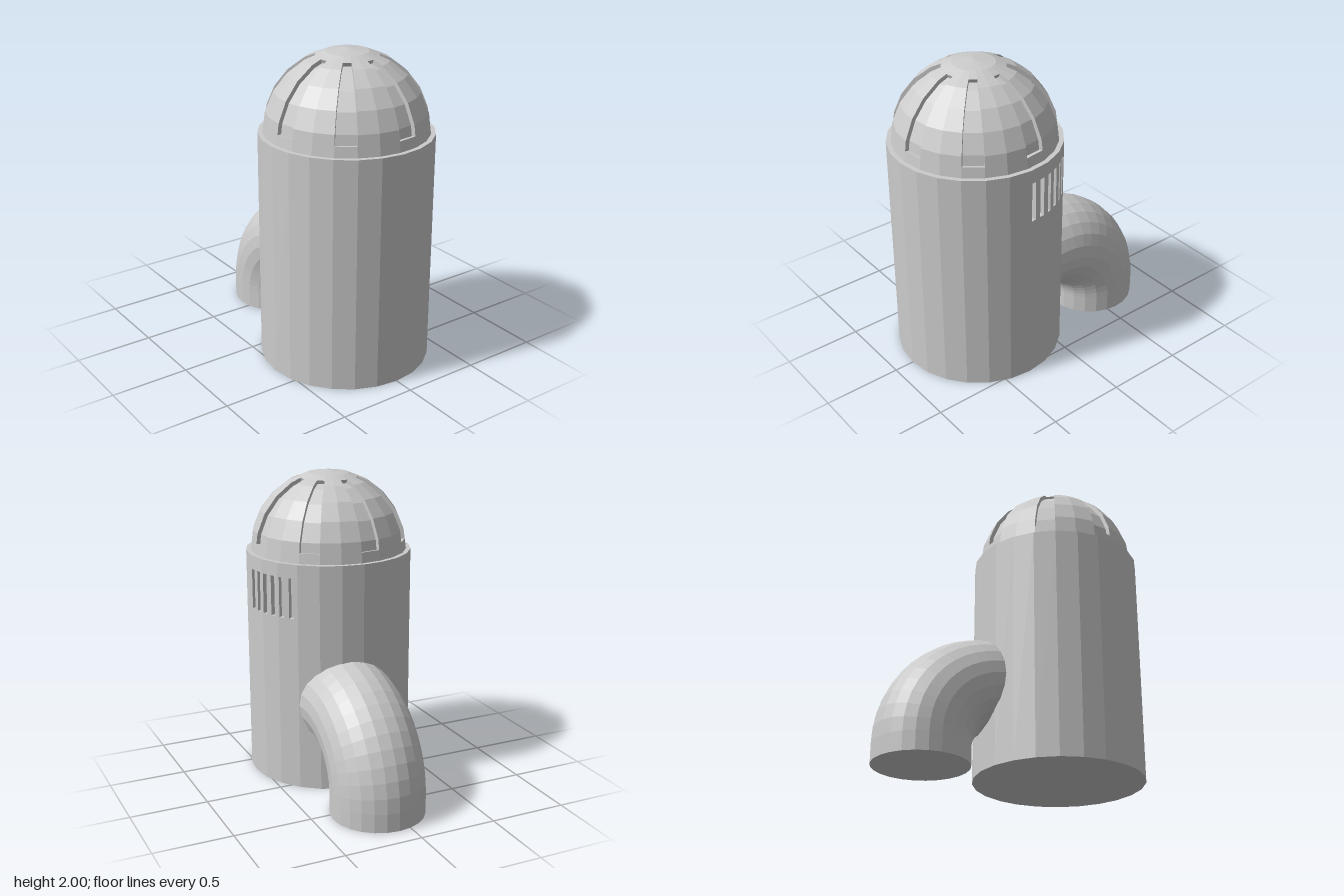
import * as THREE from 'three';

const CX = 0.33, BODY_R = 0.54, BODY_H = 1.49, DOME_R = 0.51;
const SIDES = 24, STEP = (Math.PI * 2) / SIDES;
const material = new THREE.MeshStandardMaterial({ color: 0xcccccc, flatShading: true });

function addMesh(parent, name, geometry, x = 0, y = 0, z = 0) {
  const mesh = new THREE.Mesh(geometry, material);
  mesh.name = name;
  mesh.position.set(x, y, z);
  parent.add(mesh);
  return mesh;
}

function rectangle(Type, x0, y0, x1, y1) {
  return new Type([[x0, y0], [x1, y0], [x1, y1], [x0, y1]].map(([x, y]) => new THREE.Vector2(x, y)));
}

// Faceted hemisphere; every third column has a long recessed slot
function domeGeometry() {
  const rings = [];
  for (let i = 0; i <= 6; i++) {
    rings.push(new THREE.Vector2(DOME_R * Math.cos(i * STEP), DOME_R * Math.sin(i * STEP)));
  }
  const mid = (i) => rings[i].clone().lerp(rings[i + 1], 0.5);
  const profile = [rings[0], mid(0), ...rings.slice(1, 5), mid(4), rings[5], rings[6]];
  const inner = profile.map((p) => p.clone().multiplyScalar(0.95));
  const first = 1, last = 6; // slot ends along the profile

  const positions = [];
  const at = (p, t) => [p.x * Math.sin(t), p.y, p.x * Math.cos(t)];
  const quad = (a, b, c, d) => positions.push(...a, ...b, ...c, ...a, ...c, ...d);

  for (let k = 0; k < SIDES; k++) {
    const t0 = k * STEP, t1 = t0 + STEP, slotted = k % 3 === 0;
    for (let i = 0; i < profile.length - 1; i++) {
      const recessed = slotted && i >= first && i < last;
      const line = recessed ? inner : profile;
      quad(at(line[i], t0), at(line[i], t1), at(line[i + 1], t1), at(line[i + 1], t0));
      if (recessed) {
        // side walls of the slot
        quad(at(inner[i], t0), at(inner[i + 1], t0), at(profile[i + 1], t0), at(profile[i], t0));
        quad(at(profile[i], t1), at(profile[i + 1], t1), at(inner[i + 1], t1), at(inner[i], t1));
      }
    }
    if (slotted) {
      // end walls of the slot
      quad(at(profile[first], t0), at(profile[first], t1), at(inner[first], t1), at(inner[first], t0));
      quad(at(inner[last], t0), at(inner[last], t1), at(profile[last], t1), at(profile[last], t0));
    }
  }
  const geometry = new THREE.BufferGeometry();
  geometry.setAttribute('position', new THREE.Float32BufferAttribute(positions, 3));
  geometry.computeVertexNormals();
  return geometry;
}

// Body: plain wall, end caps and three rear panels pierced by vents
function createBody() {
  const body = new THREE.Group();
  body.name = 'body';
  const grilleStart = Math.PI, grillePanels = 3;
  addMesh(body, 'bodyWall', new THREE.CylinderGeometry(BODY_R, BODY_R, BODY_H, SIDES - grillePanels, 1, true,
    grilleStart + grillePanels * STEP, (SIDES - grillePanels) * STEP), 0, BODY_H / 2, 0);

  const cap = new THREE.CircleGeometry(BODY_R, SIDES);
  addMesh(body, 'bodyTop', cap, 0, BODY_H, 0).rotation.x = -Math.PI / 2;
  addMesh(body, 'bodyBottom', cap).rotation.x = Math.PI / 2;

  const half = BODY_R * Math.sin(STEP / 2), apothem = BODY_R * Math.cos(STEP / 2), depth = 0.03;
  const panel = rectangle(THREE.Shape, -half, 0, half, BODY_H);
  for (let i = 0; i < 2; i++) {
    const x = -half + 0.008 + i * half;
    panel.holes.push(rectangle(THREE.Path, x, 1.14, x + 0.034, 1.4));
  }
  const panelGeometry = new THREE.ExtrudeGeometry(panel, { depth, bevelEnabled: false });
  const backing = new THREE.PlaneGeometry(half * 2, 0.32);
  for (let i = 0; i < grillePanels; i++) {
    const section = new THREE.Group();
    section.name = 'ventSection';
    section.rotation.y = grilleStart + (i + 0.5) * STEP;
    addMesh(section, 'ventPanel', panelGeometry, 0, 0, apothem - depth);
    addMesh(section, 'ventBacking', backing, 0, 1.27, apothem - depth - 0.001);
    body.add(section);
  }
  return body;
}

// Elbow pipe rising from the ground and turning into the body
function createPipe() {
  const pipe = new THREE.Group();
  pipe.name = 'elbowPipe';
  const radius = 0.3, bend = 0.45, foot = 0.12;
  addMesh(pipe, 'pipeFoot', new THREE.CylinderGeometry(radius, radius, foot, SIDES), -bend, foot / 2, 0);
  addMesh(pipe, 'pipeBend', new THREE.TorusGeometry(bend, radius, SIDES, 12, Math.PI / 2), 0, foot, 0)
    .rotation.z = Math.PI / 2;
  const inlet = addMesh(pipe, 'pipeInlet', new THREE.CylinderGeometry(radius, radius, 0.2, SIDES), 0.1, foot + bend, 0);
  inlet.rotation.z = Math.PI / 2;
  pipe.position.set(-0.12, 0, -0.08);
  return pipe;
}

export function createModel() {
  const model = new THREE.Group();
  model.name = 'ventilationTower';
  const tower = new THREE.Group();
  tower.name = 'tower';
  tower.position.x = CX;
  tower.add(createBody());
  addMesh(tower, 'slottedDome', domeGeometry(), 0, BODY_H, 0);
  model.add(tower, createPipe());
  return model;
}
